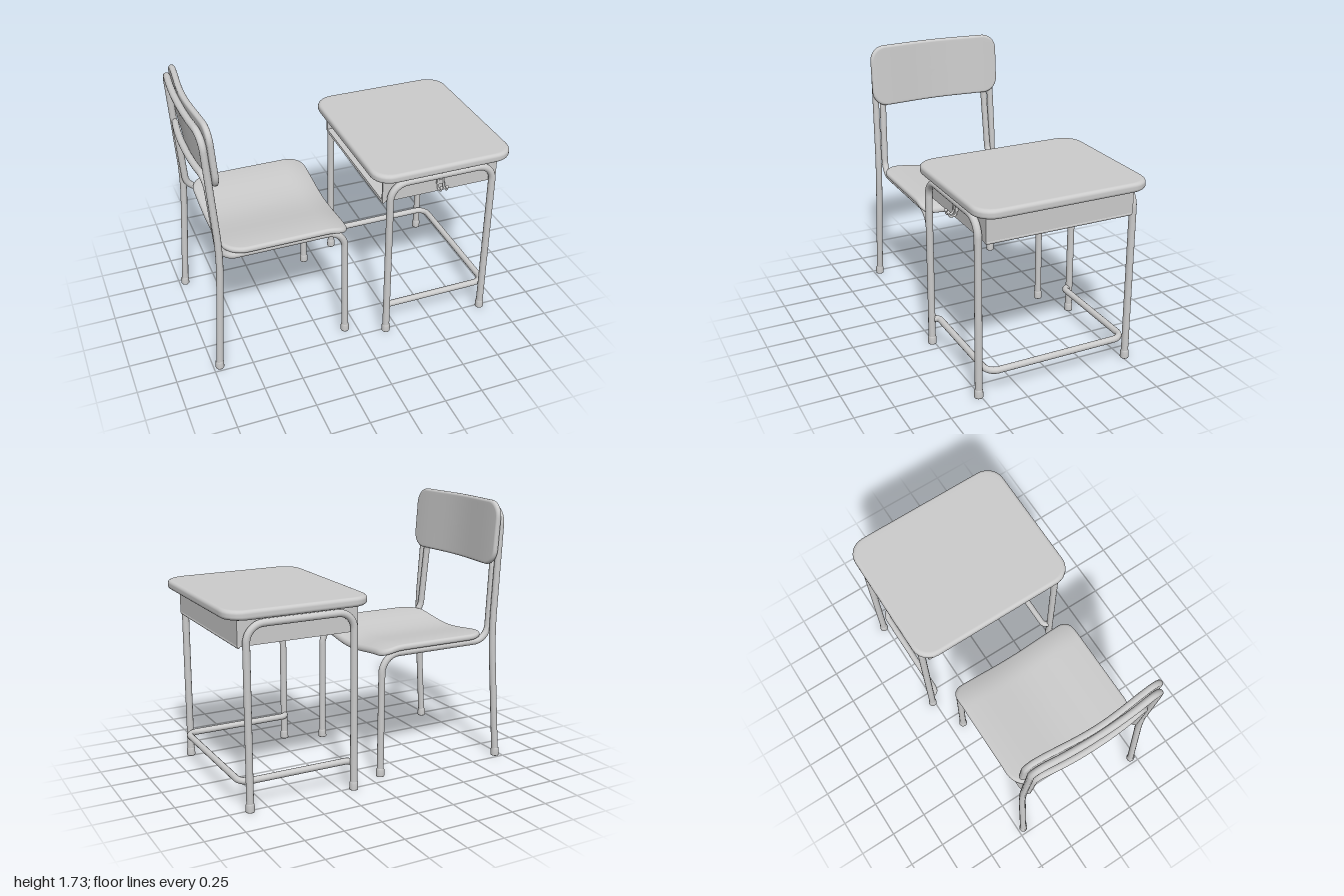
import * as THREE from 'three';

const material = new THREE.MeshStandardMaterial({ color: 0xcccccc });
const V = (x, y, z) => new THREE.Vector3(x, y, z);

function add(parent, name, geometry, x = 0, y = 0, z = 0) {
  const mesh = new THREE.Mesh(geometry, material);
  mesh.name = name;
  mesh.position.set(x, y, z);
  parent.add(mesh);
  return mesh;
}

// Bent pipe through [x, y, z, cornerRadius] points
function pipe(points, radius, segments = 160) {
  const path = new THREE.CurvePath();
  let last = V(...points[0]);
  for (let i = 1; i < points.length - 1; i++) {
    const p = V(...points[i]), r = points[i][3];
    const before = V(...points[i - 1]).sub(p).setLength(r).add(p);
    const after = V(...points[i + 1]).sub(p).setLength(r).add(p);
    path.add(new THREE.LineCurve3(last, before));
    path.add(new THREE.CubicBezierCurve3(before, before.clone().lerp(p, 0.55), after.clone().lerp(p, 0.55), after));
    last = after;
  }
  path.add(new THREE.LineCurve3(last, V(...points[points.length - 1])));
  return new THREE.TubeGeometry(path, segments, radius, 14, false);
}

// Points of one side (+z) followed by the same points mirrored to -z
const mirrored = (half) => [...half, ...half.map(([x, y, z, r]) => [x, y, -z, r]).reverse()];

// Rounded rectangle; rLow / rHigh are corner radii at the -u and +u ends
function outline(w, h, rLow, rHigh) {
  const s = new THREE.Shape(), a = w / 2, b = h / 2;
  s.moveTo(-a + rLow, -b);
  s.lineTo(a - rHigh, -b).absarc(a - rHigh, -b + rHigh, rHigh, -Math.PI / 2, 0);
  s.lineTo(a, b - rHigh).absarc(a - rHigh, b - rHigh, rHigh, 0, Math.PI / 2);
  s.lineTo(-a + rLow, b).absarc(-a + rLow, b - rLow, rLow, Math.PI / 2, Math.PI);
  s.lineTo(-a, -b + rLow).absarc(-a + rLow, -b + rLow, rLow, Math.PI, Math.PI * 1.5);
  return s.getSpacedPoints(128).slice(0, -1);
}

// Soft-edged board made of concentric rings; place(u, v, t) bends it into position
function board(w, h, rLow, rHigh, thick, edge, place) {
  const pts = outline(w, h, rLow, rHigh), n = pts.length, rings = [];
  const half = thick / 2, flat = 14, arc = 6;
  for (let i = 0; i < flat; i++) rings.push([i / flat, edge, half]);
  for (const side of [1, -1]) {
    for (let i = 0; i <= arc; i++) {
      const a = (side > 0 ? i / arc : 1 - i / arc) * Math.PI / 2;
      rings.push([1, edge * (1 - Math.sin(a)), side * (half - edge + edge * Math.cos(a))]);
    }
  }
  for (let i = flat - 1; i >= 0; i--) rings.push([i / flat, edge, -half]);

  const position = [], index = [];
  for (const [f, inset, t] of rings)
    for (const p of pts)
      position.push(...place(p.x * f * (1 - 2 * inset / w), p.y * f * (1 - 2 * inset / h), t));
  for (let i = 0; i < rings.length - 1; i++) {
    for (let j = 0; j < n; j++) {
      const a = i * n + j, d = i * n + (j + 1) % n;
      index.push(a, a + n, d + n, a, d + n, d);
    }
  }
  const g = new THREE.BufferGeometry();
  g.setAttribute('position', new THREE.Float32BufferAttribute(position, 3));
  g.setIndex(index);
  g.computeVertexNormals();
  return g;
}

// Rubber cap at the end of a leg
function foot(parent, x, z) {
  const profile = [[0, 0], [0.026, 0], [0.028, 0.004], [0.027, 0.045], [0.023, 0.054]];
  add(parent, 'footCap', new THREE.LatheGeometry(profile.map(([r, y]) => new THREE.Vector2(r, y)), 18), x, 0, z);
}

function createDesk() {
  const desk = new THREE.Group();
  desk.name = 'desk';
  add(desk, 'desktop', board(0.94, 1.125, 0.12, 0.12, 0.06, 0.022, (u, v, t) => [0.53 + u, 1.21 + t, -v]));

  // Leg frames
  for (const z of [0.514, -0.514]) {
    add(desk, 'deskLegFrame', pipe([[0.17, 0.01, z], [0.17, 1.147, z, 0.11], [0.872, 1.147, z, 0.11], [0.872, 0.01, z]], 0.023));
    foot(desk, 0.17, z);
    foot(desk, 0.872, z);
  }
  add(desk, 'footRail', pipe(mirrored([[0.17, 0.177, 0.5], [0.19, 0.177, 0.468, 0.015], [0.91, 0.177, 0.468, 0.07]]), 0.021));

  // Book tray, open towards the chair
  const tray = new THREE.Group();
  tray.name = 'bookTray';
  desk.add(tray);
  add(tray, 'trayFloor', new THREE.BoxGeometry(0.785, 0.014, 0.97), 0.5225, 1.02, 0);
  add(tray, 'trayEndPanel', new THREE.BoxGeometry(0.014, 0.17, 0.97), 0.908, 1.1, 0);
  for (const z of [0.478, -0.478]) add(tray, 'traySide', new THREE.BoxGeometry(0.785, 0.17, 0.014), 0.5225, 1.1, z);
  for (const x of [0.14, 0.905])
    add(tray, 'trayLip', new THREE.CapsuleGeometry(0.012, 0.95, 4, 12).rotateX(Math.PI / 2), x, 1.013, 0);

  // Bag hook on one side
  const hook = new THREE.Group();
  hook.name = 'bagHook';
  desk.add(hook);
  add(hook, 'hookPlate', new THREE.BoxGeometry(0.055, 0.03, 0.012), 0.52, 1.085, 0.491);
  for (const x of [0.5, 0.54]) {
    add(hook, 'hookProng', pipe([[x, 1.125, 0.492], [x, 1.042, 0.497, 0.015], [x, 1.042, 0.54, 0.015], [x, 1.07, 0.544]], 0.007, 40));
    add(hook, 'hookTip', new THREE.SphereGeometry(0.011, 12, 8), x, 1.07, 0.544);
  }
  return desk;
}

function createChair() {
  const chair = new THREE.Group();
  chair.name = 'chair';

  // Rear legs run up and across the top of the backrest
  add(chair, 'rearFrame', pipe(mirrored([
    [-0.96, 0.01, 0.462], [-0.902, 0.86, 0.452, 0.15], [-0.953, 1.68, 0.437, 0.1], [-0.98, 1.68, 0.16, 0.12],
  ]), 0.022, 300));

  // Front legs run back under the seat, then up and across the backrest
  add(chair, 'seatFrame', pipe(mirrored([
    [-0.083, 0.01, 0.41], [-0.088, 0.812, 0.41, 0.12], [-0.893, 0.812, 0.41, 0.1],
    [-0.935, 1.37, 0.39, 0.08], [-0.965, 1.37, 0.16, 0.12],
  ]), 0.022, 360));
  for (const side of [1, -1]) {
    foot(chair, -0.96, side * 0.462);
    foot(chair, -0.083, side * 0.41);
  }

  // Seat, dished across its width with a rolled front edge
  add(chair, 'seat', board(0.8, 0.91, 0.14, 0.07, 0.04, 0.018, (u, v, t) => {
    const roll = Math.max(0, (u - 0.24) / 0.16);
    const dish = 0.019 * (1 + Math.cos(Math.PI * v / 0.43));
    return [-0.47 + u, 0.853 + t - dish - 0.035 * roll * roll, -v];
  }));

  // Backrest, bowed away from the sitter and leaning back
  add(chair, 'backrest', board(0.95, 0.415, 0.1, 0.1, 0.038, 0.016, (u, v, t) => {
    const bow = 0.015 * (1 + Math.cos(Math.PI * u / 0.475));
    return [-0.902 + t - bow - 0.07 * v, 1.525 + v, -u];
  }));
  return chair;
}

export function createModel() {
  const model = new THREE.Group();
  model.name = 'schoolDeskAndChair';
  model.add(createDesk(), createChair());
  return model;
}
